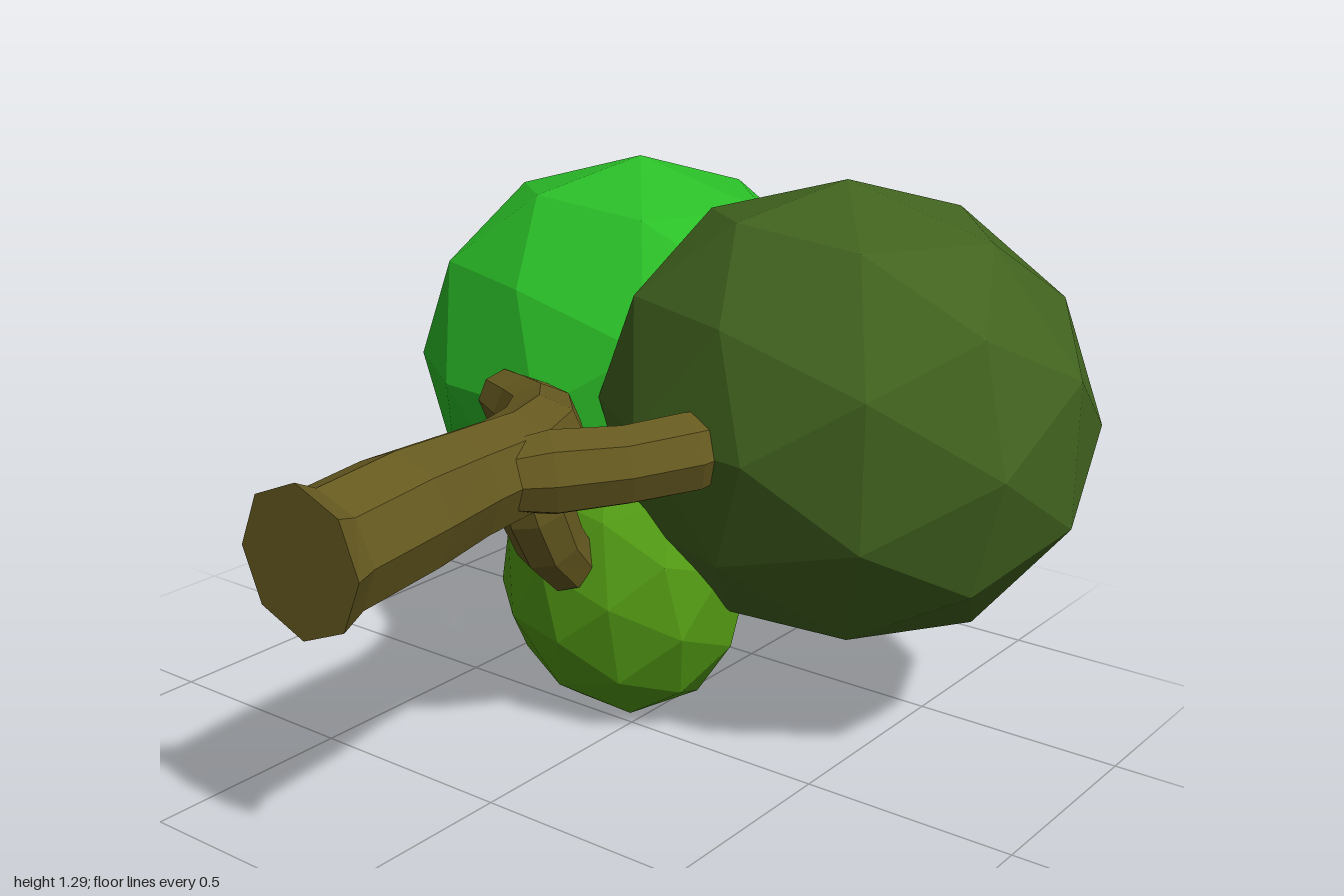
import * as THREE from 'three';

const SIDES = 8;
const bark = new THREE.MeshStandardMaterial({ color: 0x665a20, flatShading: true });

// Faceted limb: octagonal rings swept along points [x, y, z, radius], capped at both ends
function limb(name, stations) {
  const centres = stations.map(([x, y, z]) => new THREE.Vector3(x, y, z));
  const positions = [];
  const index = [];
  const up = new THREE.Vector3(0, 1, 0);
  const side = new THREE.Vector3(1, 0, 0);
  const previous = new THREE.Vector3(0, 0, -1);
  const turn = new THREE.Quaternion();
  centres.forEach((c, i) => {
    const before = centres[Math.max(i - 1, 0)];
    const after = centres[Math.min(i + 1, centres.length - 1)];
    const dir = after.clone().sub(before).normalize();
    turn.setFromUnitVectors(previous, dir);
    up.applyQuaternion(turn);
    side.applyQuaternion(turn);
    previous.copy(dir);
    for (let k = 0; k < SIDES; k++) {
      const a = (k / SIDES) * Math.PI * 2;
      const p = c.clone()
        .addScaledVector(side, Math.cos(a) * stations[i][3])
        .addScaledVector(up, Math.sin(a) * stations[i][3]);
      positions.push(p.x, p.y, p.z);
    }
  });
  for (let i = 0; i < centres.length - 1; i++) {
    for (let k = 0; k < SIDES; k++) {
      const a = i * SIDES + k;
      const b = i * SIDES + ((k + 1) % SIDES);
      index.push(a, b + SIDES, b, a, a + SIDES, b + SIDES);
    }
  }
  const last = (centres.length - 1) * SIDES;
  for (let k = 1; k < SIDES - 1; k++) {
    index.push(0, k, k + 1, last, last + k + 1, last + k);
  }
  const geometry = new THREE.BufferGeometry();
  geometry.setAttribute('position', new THREE.Float32BufferAttribute(positions, 3));
  geometry.setIndex(index);
  geometry.computeVertexNormals();
  const mesh = new THREE.Mesh(geometry, bark);
  mesh.name = name;
  return mesh;
}

// Foliage ball: icosphere with its pole along z, stretched separately to front and back
function foliage(name, color, centre, [rx, ry, front, back], [tiltX, tiltY]) {
  const geometry = new THREE.IcosahedronGeometry(1, 1);
  geometry.rotateZ(-Math.atan(2 / (1 + Math.sqrt(5))));
  geometry.rotateX(-Math.PI / 2 + tiltX);
  geometry.rotateY(tiltY);
  const p = geometry.attributes.position;
  for (let i = 0; i < p.count; i++) {
    const z = p.getZ(i);
    p.setXYZ(i, p.getX(i) * rx, p.getY(i) * ry, z * (z > 0 ? front : back));
  }
  geometry.computeVertexNormals();
  const mesh = new THREE.Mesh(geometry, new THREE.MeshStandardMaterial({ color, flatShading: true }));
  mesh.name = name;
  mesh.position.set(...centre);
  return mesh;
}

export function createModel() {
  const tree = new THREE.Group();
  tree.name = 'tree';

  // Trunk with a flared foot, bending into the right-hand branch
  tree.add(limb('trunk', [
    [-0.01, 0.72, 1, 0.16],
    [-0.01, 0.72, 0.94, 0.135],
    [-0.02, 0.735, 0.72, 0.134],
    [-0.04, 0.735, 0.54, 0.122],
    [-0.05, 0.735, 0.34, 0.115],
    [-0.1, 0.74, 0.2, 0.105],
    [-0.2, 0.735, 0.08, 0.09],
    [-0.3, 0.73, 0.02, 0.08],
    [-0.41, 0.73, -0.03, 0.068],
  ]));

  // Side branches
  tree.add(limb('leftBranch', [
    [-0.03, 0.735, 0.46, 0.07],
    [0.06, 0.74, 0.35, 0.095],
    [0.17, 0.75, 0.24, 0.088],
    [0.25, 0.765, 0.13, 0.09],
    [0.29, 0.775, 0.02, 0.07],
  ]));
  tree.add(limb('lowerBranch', [
    [-0.09, 0.71, 0.28, 0.07],
    [-0.09, 0.6, 0.235, 0.085],
    [-0.09, 0.5, 0.185, 0.08],
    [-0.09, 0.43, 0.12, 0.072],
    [-0.09, 0.4, 0.04, 0.055],
  ]));

  // Foliage
  tree.add(foliage('rightFoliage', 0x2bbf28, [-0.365, 0.72, -0.5], [0.6, 0.53, 0.5, 0.5], [0, 0.12]));
  tree.add(foliage('leftFoliage', 0x42641f, [0.36, 0.77, -0.3], [0.592, 0.53, 0.46, 0.54], [0, 0.08]));
  tree.add(foliage('lowerFoliage', 0x529a14, [-0.095, 0.32, -0.085], [0.32, 0.325, 0.25, 0.25], [0.25, 0]));

  return tree;
}
